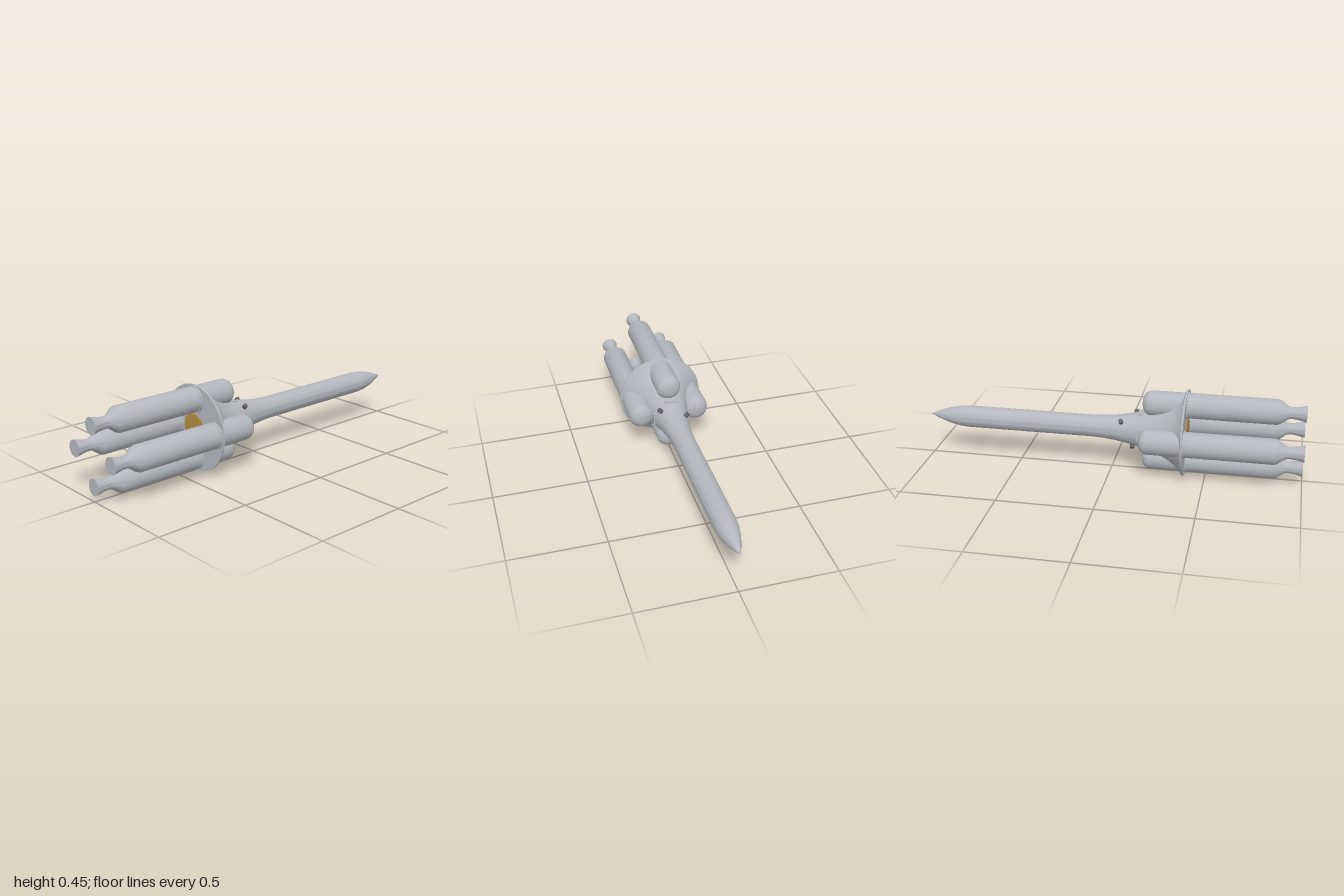
import * as THREE from 'three';
import { toCreasedNormals } from 'three/addons/utils/BufferGeometryUtils.js';

const AXIS_Y = 0.226;

// Surface of revolution about the x axis, from [x, radius] pairs running tail to nose
function turned(profile, segments) {
  const points = profile.map(([x, r]) => new THREE.Vector2(r, x));
  const geometry = new THREE.LatheGeometry(points, segments);
  geometry.rotateZ(-Math.PI / 2);
  return toCreasedNormals(geometry, 0.6);
}

function add(parent, name, geometry, material) {
  const mesh = new THREE.Mesh(geometry, material);
  mesh.name = name;
  parent.add(mesh);
  return mesh;
}

export function createModel() {
  const hull = new THREE.MeshStandardMaterial({ name: 'hullGrey', color: 0xb4b8be });
  const dark = new THREE.MeshStandardMaterial({ name: 'darkGrey', color: 0x66666a });
  const gold = new THREE.MeshStandardMaterial({ name: 'gold', color: 0xb88a45 });

  const model = new THREE.Group();
  model.name = 'spacecraft';
  const ship = new THREE.Group();
  ship.name = 'ship';
  ship.position.y = AXIS_Y;
  model.add(ship);

  // Flared skirt, slender fuselage and ogive nose
  add(ship, 'fuselage', turned([
    [-0.395, 0], [-0.395, 0.225], [-0.386, 0.225], [-0.37, 0.2], [-0.34, 0.173],
    [-0.3, 0.147], [-0.25, 0.124], [-0.2, 0.107], [-0.16, 0.096], [-0.1, 0.082],
    [-0.03, 0.069], [0.04, 0.061], [0.1, 0.058], [0.78, 0.058], [0.83, 0.054],
    [0.88, 0.044], [0.93, 0.029], [0.97, 0.014], [0.993, 0.004], [1, 0],
  ], 48), hull);

  // Gold plate in the middle of the skirt's rear face
  const plate = add(ship, 'rearPlate', new THREE.CylinderGeometry(0.075, 0.075, 0.006, 24), gold);
  plate.rotation.z = Math.PI / 2;
  plate.position.x = -0.397;

  // Booster: nozzle bell, waist, long tank and blunt dome
  const boosterProfile = [
    [-1, 0], [-1, 0.043], [-0.97, 0.036], [-0.94, 0.031], [-0.92, 0.03],
    [-0.905, 0.034], [-0.87, 0.06], [-0.855, 0.066], [-0.21, 0.066],
  ];
  for (let i = 1; i <= 10; i++) {
    const a = (i / 10) * Math.PI / 2;
    boosterProfile.push([-0.21 + 0.047 * Math.sin(a), 0.066 * Math.pow(Math.max(0, Math.cos(a)), 0.8)]);
  }
  const boosterGeometry = turned(boosterProfile, 40);
  const collarGeometry = turned([[-0.405, 0.064], [-0.405, 0.07], [-0.393, 0.07]], 40);
  const bracketGeometry = new THREE.BoxGeometry(0.022, 0.02, 0.062);

  for (let i = 0; i < 4; i++) {
    const arm = new THREE.Group();
    arm.name = 'boosterAssembly';
    arm.rotation.x = i * Math.PI / 2;
    ship.add(arm);
    add(arm, 'booster', boosterGeometry, hull).position.y = 0.152;
    add(arm, 'boosterCollar', collarGeometry, hull).position.y = 0.152;
    add(arm, 'bracket', bracketGeometry, hull).position.set(-0.155, 0.088, 0);
  }

  // Small thrusters standing out from the fuselage: x, radius, angle from up towards front
  const thrusterGeometry = new THREE.CylinderGeometry(0.012, 0.012, 0.026, 16);
  for (const [x, r, angle] of [[-0.12, 0.095, 45], [-0.057, 0.083, -45], [-0.12, 0.095, -135]]) {
    const a = THREE.MathUtils.degToRad(angle);
    const thruster = add(ship, 'thruster', thrusterGeometry, dark);
    thruster.position.set(x, r * Math.cos(a), r * Math.sin(a));
    thruster.rotation.x = a;
  }

  return model;
}
